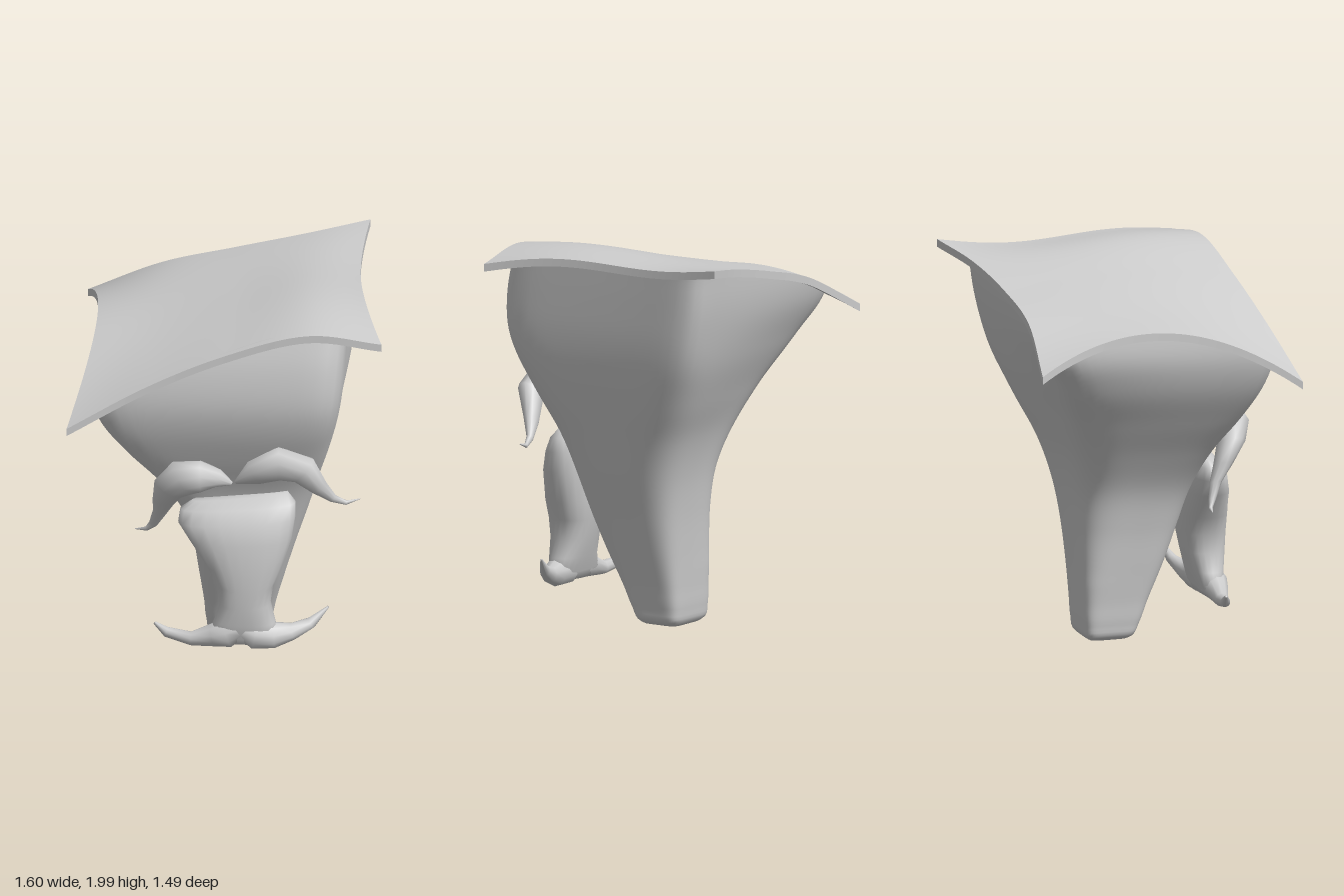
import * as THREE from 'three';
import { mergeVertices } from 'three/addons/utils/BufferGeometryUtils.js';

const material = new THREE.MeshStandardMaterial({ color: 0xcccccc });
const { lerp } = THREE.MathUtils;

// Smooth mesh from a rule f(u, v) -> [x, y, z]; it faces du x dv
function surface(name, nu, nv, f) {
  const pos = [], index = [];
  for (let j = 0; j <= nv; j++)
    for (let i = 0; i <= nu; i++) pos.push(...f(i / nu, j / nv));
  for (let j = 0; j < nv; j++)
    for (let i = 0; i < nu; i++) {
      const a = j * (nu + 1) + i, b = a + nu + 1;
      index.push(a, a + 1, b + 1, a, b + 1, b);
    }
  let g = new THREE.BufferGeometry();
  g.setAttribute('position', new THREE.Float32BufferAttribute(pos, 3));
  g.setIndex(index);
  g = mergeVertices(g, 1e-5);
  g.computeVertexNormals();
  const mesh = new THREE.Mesh(g, material);
  mesh.name = name;
  return mesh;
}

// Smooth interpolation through rows of [key, ...values]
function table(rows) {
  const n = rows[0].length - 1;
  const it = new THREE.CubicInterpolant(
    new Float32Array(rows.map(r => r[0])),
    new Float32Array(rows.flatMap(r => r.slice(1))), n, new Float32Array(n));
  return t => Array.from(it.evaluate(t));
}

// Rounded-square outline in -1..1, running from +x towards -z
function squircle(t, power) {
  const a = t * Math.PI * 2, c = Math.cos(a), s = Math.sin(a);
  const k = Math.pow(Math.abs(c) ** power + Math.abs(s) ** power, -1 / power);
  return [c * k, -s * k];
}

// Tapered tentacle through points [x, y, z, radius]
function taper(name, pts, depth = 0.9, sides = 10) {
  const n = pts.length - 1;
  return surface(name, sides, n + 2, (u, v) => {
    const row = Math.round(v * (n + 2)), k = Math.min(Math.max(row - 1, 0), n);
    const [x, y, z, rad] = pts[k];
    const p = pts[Math.max(k - 1, 0)], q = pts[Math.min(k + 1, n)];
    const len = Math.hypot(q[0] - p[0], q[1] - p[1]);
    const r = row === 0 || row === n + 2 ? 0 : rad;
    const a = u * Math.PI * 2, c = Math.cos(a) * r / len;
    return [x - (q[1] - p[1]) * c, y + (q[0] - p[0]) * c, z + Math.sin(a) * r * depth];
  });
}

// Roof: three curved ribs (front, middle, back) blended by a parabola
const ribs = [
  [[-0.8, 1.455, 0.74], [-0.4, 1.675, 0.68], [0, 1.845, 0.635], [0.42, 1.96, 0.605], [0.8, 1.91, 0.57]],
  [[-0.7, 1.74, 0.04], [-0.4, 1.8, 0.03], [0, 1.895, 0], [0.35, 1.97, -0.04], [0.645, 1.955, -0.08]],
  [[-0.8, 1.585, -0.66], [-0.42, 1.775, -0.61], [-0.04, 1.87, -0.62], [0.32, 1.94, -0.665], [0.64, 1.99, -0.75]],
].map(r => new THREE.CatmullRomCurve3(r.map(p => new THREE.Vector3(...p)), false, 'catmullrom'));

function roof(u, v) {
  const [f, m, b] = ribs.map(r => r.getPoint(u));
  const p = f.multiplyScalar((1 - v) * (1 - 2 * v))
    .addScaledVector(m, 4 * v * (1 - v))
    .addScaledVector(b, v * (2 * v - 1)).toArray();
  // the right half swells in front and sags behind
  p[1] += 0.024 * u * u * Math.sin(2 * Math.PI * v);
  return p;
}

function createRoof() {
  const group = new THREE.Group();
  group.name = 'roof';
  const thick = 0.04;
  const at = (u, v, drop) => { const p = roof(u, v); p[1] -= drop; return p; };
  group.add(surface('roofTop', 40, 40, (u, v) => at(u, v, 0)));
  group.add(surface('roofUnderside', 40, 40, (u, v) => at(1 - u, v, thick)));
  const edges = { front: t => [t, 0], right: t => [1, t], back: t => [1 - t, 1], left: t => [0, 1 - t] };
  for (const [side, e] of Object.entries(edges))
    group.add(surface(side + 'Rim', 40, 1, (t, h) => at(...e(t), thick * (1 - h))));
  return group;
}

// Body: flaring stem, rounder at the waist, whose top follows the roof
function createBody() {
  // height, left x, right x, back z, front z
  const profile = table([
    [0, -0.09, 0.15, -0.165, 0.04], [0.015, -0.12, 0.175, -0.185, 0.06],
    [0.08, -0.14, 0.195, -0.2, 0.095], [0.2, -0.15, 0.22, -0.207, 0.145],
    [0.4, -0.175, 0.275, -0.22, 0.235], [0.6, -0.205, 0.335, -0.24, 0.31],
    [0.8, -0.26, 0.4, -0.275, 0.37], [1, -0.375, 0.46, -0.335, 0.435],
    [1.2, -0.515, 0.52, -0.425, 0.53], [1.4, -0.64, 0.57, -0.51, 0.61],
    [1.55, -0.69, 0.595, -0.56, 0.64], [1.75, -0.69, 0.615, -0.615, 0.625],
    [2, -0.69, 0.635, -0.66, 0.555]]);
  const squareness = table([[0, 6], [0.25, 4], [0.45, 3.8], [0.65, 6], [0.8, 9], [1, 10]]);
  // height, pull-in of the back right corner, push-out of the back left one
  const corners = table([[0.3, 0, 0], [0.7, 0.025, 0.005], [1, 0.06, 0.015],
    [1.25, 0.085, 0.025], [1.45, 0.06, 0.025], [1.65, 0, 0.015], [1.9, 0, 0]]);
  return surface('body', 96, 61, (t, v) => {
    const row = Math.round(v * 61) - 1, s = Math.max(row, 0) / 60;
    const [cx, cz] = squircle(t, squareness(s ** 1.3)[0]);
    const h = roof(0.5 + cx * 0.45, 0.5 - cz * 0.45)[1] - 0.02;
    const y = h * s ** 1.3;
    const [l, r, b, f] = profile(y), [pull, push] = corners(y);
    // how near this point is to a corner of the section
    const near = (sx, sz) => ((1 + sx * cx) * (1 + sz * cz) / 4) ** 2;
    const inset = pull * near(-1, -1), out = push * near(1, -1);
    const flare = 0.025 * s ** 4 * near(-1, 1);
    // side faces hollow slightly towards the top
    const hollow = s ** 3;
    const x = lerp(l, r, 0.5 + cx / 2) - 0.025 * hollow * cx * (1 - cz * cz);
    const z = lerp(b, f, 0.5 + cz / 2) - 0.06 * hollow * Math.min(cz, 0) * (1 - cx * cx);
    return row < 0 ? [0.03, 0, -0.06] : [x + inset + out * 0.3 - flare, y, z + inset - out + flare];
  });
}

// Nose: wide at the top, narrowing into the moustache
function createNose() {
  // height, left x, right x, back z, front z
  const rows = [
    [0.18, -0.04, 0.2, 0.46, 0.55], [0.22, -0.1, 0.27, 0.44, 0.575],
    [0.3, -0.06, 0.25, 0.415, 0.59], [0.4, -0.04, 0.225, 0.385, 0.6],
    [0.5, -0.05, 0.24, 0.365, 0.605], [0.6, -0.1, 0.285, 0.35, 0.605],
    [0.75, -0.19, 0.335, 0.345, 0.595], [0.85, -0.25, 0.35, 0.35, 0.565],
    [0.92, -0.24, 0.35, 0.37, 0.52], [0.965, -0.18, 0.31, 0.39, 0.47]];
  const n = rows.length;
  return surface('nose', 24, n + 1, (t, v) => {
    const i = Math.round(v * (n + 1));
    const [y, l, r, b, f] = rows[Math.min(Math.max(i - 1, 0), n - 1)];
    let [cx, cz] = squircle(t, 2.6);
    if (i === 0 || i === n + 1) cx = cz = 0;
    // the crown tilts up to the right
    const tilt = cx * 0.035 * Math.max(0, (y - 0.6) / 0.4);
    return [lerp(l, r, 0.5 + cx / 2), y + tilt, lerp(b, f, 0.5 + cz / 2)];
  });
}

export function createModel() {
  const model = new THREE.Group();
  model.name = 'towerFace';
  model.add(createRoof(), createBody(), createNose());
  model.add(taper('moustache', [
    [-0.37, 0.25, 0.47, 0.008], [-0.31, 0.208, 0.485, 0.027], [-0.18, 0.187, 0.51, 0.036],
    [-0.07, 0.215, 0.52, 0.06], [0.01, 0.235, 0.52, 0.08], [0.08, 0.262, 0.52, 0.062],
    [0.15, 0.23, 0.52, 0.08], [0.25, 0.222, 0.51, 0.068], [0.34, 0.233, 0.48, 0.045],
    [0.43, 0.268, 0.445, 0.03], [0.515, 0.345, 0.41, 0.006]], 1.0));
  model.add(taper('leftBrow', [
    [0.05, 1.09, 0.54, 0.01], [0.15, 1.165, 0.57, 0.068], [0.28, 1.225, 0.575, 0.093],
    [0.4, 1.18, 0.555, 0.08], [0.475, 1.06, 0.5, 0.047], [0.545, 0.98, 0.46, 0.022],
    [0.61, 0.95, 0.44, 0.012], [0.68, 0.97, 0.43, 0.002]]));
  model.add(taper('rightBrow', [
    [0.03, 1.08, 0.53, 0.01], [-0.04, 1.115, 0.55, 0.05], [-0.125, 1.13, 0.565, 0.085],
    [-0.225, 1.11, 0.55, 0.1], [-0.295, 1.035, 0.52, 0.083], [-0.325, 0.94, 0.47, 0.057],
    [-0.35, 0.85, 0.42, 0.035], [-0.385, 0.77, 0.39, 0.022], [-0.42, 0.732, 0.37, 0.012],
    [-0.48, 0.725, 0.36, 0.002]]));
  return model;
}
